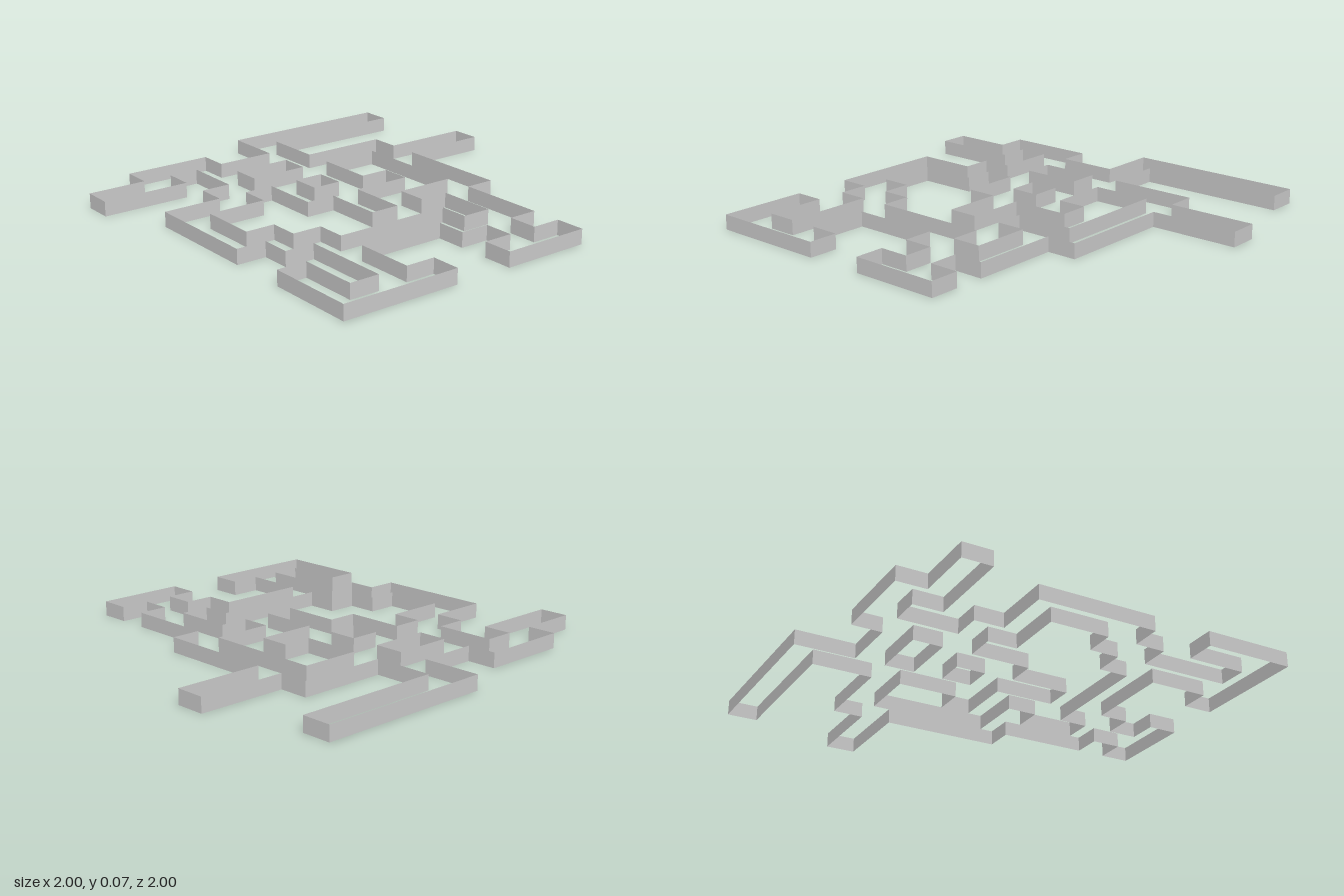
import * as THREE from 'three';

const CELL = 1 / 7;     // plan grid spacing
const HEIGHT = 1 / 14;  // wall height

// Plan corners in grid cells as [x, z]; each loop closes on itself.
const outline = [
  [-7, -5], [-5, -5], [-5, -6], [-2, -6], [-2, -5], [0, -5], [0, -7], [6, -7], [6, -6], [1, -6],
  [1, -4], [4, -4], [4, -3], [7, -3], [7, -2], [4, -2], [4, 2], [3, 2], [3, 5], [2, 5],
  [2, 6], [3, 6], [3, 7], [0, 7], [0, 6], [1, 6], [1, 5], [0, 5], [0, 4], [-3, 4],
  [-3, 6], [-2, 6], [-2, 7], [-6, 7], [-6, 4], [-5, 4], [-5, 6], [-4, 6], [-4, 3], [-5, 3],
  [-5, 2], [-6, 2], [-6, -2], [-4, -2], [-4, -3], [-3, -3], [-3, -5], [-4, -5], [-4, -4], [-7, -4],
];
const court = [
  [-5, -1], [-3, -1], [-3, -2], [-2, -2], [-2, 0], [-1, 0], [-1, 2], [0, 2], [0, 0], [2, 0],
  [2, -1], [1, -1], [1, -3], [3, -3], [3, 1], [1, 1], [1, 2], [2, 2], [2, 4], [1, 4],
  [1, 3], [-3, 3], [-3, 2], [-4, 2], [-4, 1], [-5, 1],
];
const rectangle = (x0, z0, x1, z1) => [[x0, z0], [x1, z0], [x1, z1], [x0, z1]];

// Raises a thin, open-topped wall along a closed plan loop, one flat panel per side.
function wallLoop(name, corners, material) {
  const positions = [];
  corners.forEach(([ax, az], i) => {
    const [bx, bz] = corners[(i + 1) % corners.length];
    const a = [ax * CELL, az * CELL], b = [bx * CELL, bz * CELL];
    const a0 = [a[0], 0, a[1]], a1 = [a[0], HEIGHT, a[1]];
    const b0 = [b[0], 0, b[1]], b1 = [b[0], HEIGHT, b[1]];
    positions.push(...a0, ...a1, ...b1, ...a0, ...b1, ...b0);
  });
  const geometry = new THREE.BufferGeometry();
  geometry.setAttribute('position', new THREE.Float32BufferAttribute(positions, 3));
  geometry.computeVertexNormals();
  const mesh = new THREE.Mesh(geometry, material);
  mesh.name = name;
  return mesh;
}

export function createModel() {
  const model = new THREE.Group();
  model.name = 'mazeWalls';
  const material = new THREE.MeshStandardMaterial({
    color: 0xcccccc, flatShading: true, side: THREE.DoubleSide,
  });
  model.add(
    wallLoop('outerWall', outline, material),
    wallLoop('innerCourtWall', court, material),
    wallLoop('rectangularCellWall', rectangle(-2, -4, 0, -3), material),
    wallLoop('squareCellWall', rectangle(-1, -2, 0, -1), material),
  );
  return model;
}
